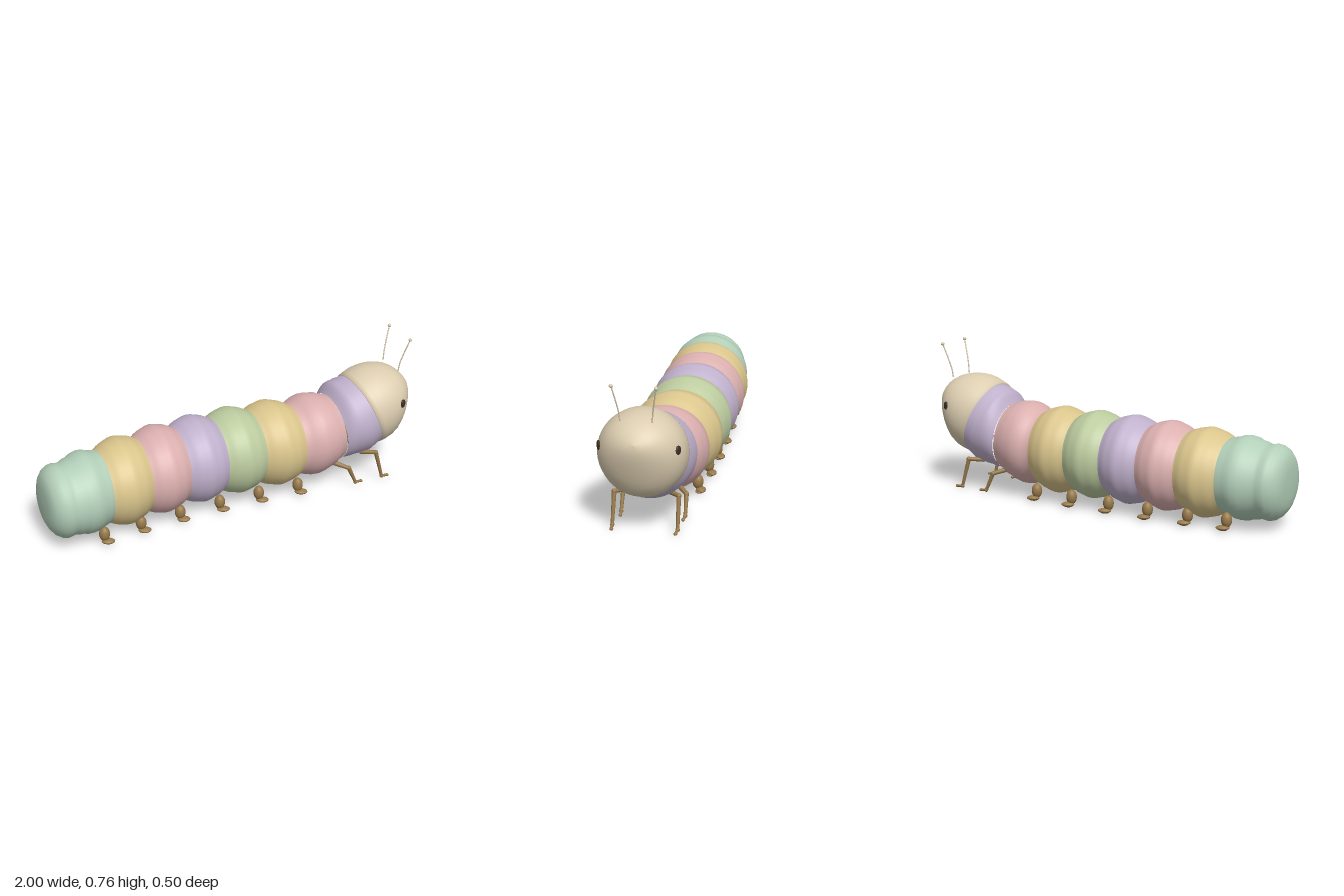
import * as THREE from 'three';

const mat = (name, color) => {
  const m = new THREE.MeshStandardMaterial({ color });
  m.name = name;
  return m;
};

// Skin through elliptical rings [x, y, z, radiusY, radiusZ, tilt in degrees] running toward +x
function loft(rings, sides = 48) {
  const pos = [], idx = [];
  rings.forEach(([x, y, z, ry, rz, tilt], i) => {
    const a = THREE.MathUtils.degToRad(tilt);
    for (let j = 0; j < sides; j++) {
      const t = (j / sides) * Math.PI * 2, h = Math.cos(t) * ry;
      pos.push(x - Math.sin(a) * h, y + Math.cos(a) * h, z + Math.sin(t) * rz);
      if (i === rings.length - 1) continue;
      const k = (j + 1) % sides, p = i * sides, q = p + sides;
      idx.push(p + j, p + k, q + j, p + k, q + k, q + j);
    }
  });
  const g = new THREE.BufferGeometry();
  g.setAttribute('position', new THREE.Float32BufferAttribute(pos, 3));
  g.setIndex(idx);
  g.computeVertexNormals();
  return g;
}

// Body centre line: [x, y, z]
const spine = [[-1, 0.235, 0.005], [-0.9, 0.228, 0.005], [-0.78, 0.238, -0.006], [-0.58, 0.243, -0.022],
  [-0.37, 0.254, -0.03], [-0.15, 0.26, -0.03], [0.06, 0.26, -0.025], [0.27, 0.257, -0.01], [0.37, 0.256, 0.0],
  [0.45, 0.267, 0.008], [0.51, 0.277, 0.013], [0.585, 0.29, 0.018]];
function centre(x) {
  let i = 0;
  while (i < spine.length - 2 && x > spine[i + 1][0]) i++;
  const [a, b] = [spine[i], spine[i + 1]], u = (x - a[0]) / (b[0] - a[0]);
  return [a[1] + (b[1] - a[1]) * u, a[2] + (b[2] - a[2]) * u];
}
const ring = (x, r, tilt = 0) => [x, ...centre(x), r, r, tilt];

export function createModel() {
  const group = new THREE.Group();
  const mint = mat('mint', 0xb3cfb9), yellow = mat('yellow', 0xdac58c), pink = mat('pink', 0xdbb0af);
  const lilac = mat('lilac', 0xc0b1cc), lime = mat('lime', 0xbccb9f), cream = mat('cream', 0xdccdb0);
  const brown = mat('brown', 0x97794a), dark = mat('dark', 0x3a2e22);

  const add = (name, geo, material, parent = group) => {
    const m = new THREE.Mesh(geo, material);
    m.name = name;
    parent.add(m);
    return m;
  };
  const ball = (name, p, s, material, parent) => {
    const m = add(name, new THREE.SphereGeometry(1, 20, 14), material, parent);
    m.position.set(...p);
    m.scale.set(...s);
    return m;
  };
  const limb = (name, a, b, r0, r1, parent) => {
    const p = new THREE.Vector3(...a), q = new THREE.Vector3(...b), d = q.clone().sub(p);
    const m = add(name, new THREE.CylinderGeometry(r1, r0, d.length(), 14), brown, parent);
    m.position.copy(p).addScaledVector(d, 0.5);
    m.quaternion.setFromUnitVectors(new THREE.Vector3(0, 1, 0), d.normalize());
  };

  // Tail: rounded end disc, a fold, then the first bulge
  const tail = [[-1, 0.001], [-0.999, 0.07], [-0.993, 0.115], [-0.98, 0.143], [-0.96, 0.167], [-0.935, 0.182],
    [-0.915, 0.186], [-0.895, 0.182], [-0.875, 0.181], [-0.855, 0.189], [-0.83, 0.193], [-0.81, 0.202],
    [-0.78, 0.206], [-0.755, 0.203], [-0.735, 0.194], [-0.715, 0.19], [-0.69, 0.183]];
  add('tailSegment', loft(tail.map(([x, r]) => ring(x, r))), mint);

  // Bulging middle segments with shallow folds
  const cuts = [-0.69, -0.48, -0.275, -0.07, 0.14, 0.355];
  [yellow, pink, lilac, lime, yellow].forEach((m, s) => {
    const rings = [];
    for (let i = 0; i <= 20; i++) {
      const u = i / 20, x = cuts[s] + (cuts[s + 1] - cuts[s]) * u;
      const base = s === 0 ? 0.183 + 0.005 * u : 0.188;
      rings.push(ring(x, base + 0.034 * Math.sin(Math.PI * u) ** 1.1 + 0.0025 * Math.sin(Math.PI * 3 * u) ** 2));
    }
    add('bodySegment' + (s + 1), loft(rings), m);
  });

  // Chest and neck, tilting up toward the head
  const chest = [[0.355, 0.188, 0], [0.375, 0.19, 0], [0.395, 0.199, 1], [0.42, 0.209, 1], [0.45, 0.214, 2],
    [0.48, 0.21, 3], [0.505, 0.203, 4], [0.53, 0.198, 5], [0.555, 0.184, 6], [0.585, 0.173, 7]];
  add('chestSegment', loft(chest.map((c) => ring(...c))), pink);
  add('neckSegment', loft([[0.585, 0.29, 0.018, 0.173, 0.18, 7], [0.598, 0.298, 0.019, 0.183, 0.19, 7],
    [0.613, 0.31, 0.02, 0.194, 0.198, 8], [0.632, 0.321, 0.022, 0.2, 0.204, 9], [0.655, 0.326, 0.025, 0.204, 0.207, 11],
    [0.675, 0.33, 0.028, 0.204, 0.206, 13], [0.697, 0.336, 0.03, 0.208, 0.207, 16], [0.722, 0.349, 0.033, 0.202, 0.203, 19],
    [0.75, 0.364, 0.036, 0.196, 0.198, 22]]), lilac);

  // Head: blunt dome [distance along axis, lift, radiusY, radiusZ]
  const pitch = THREE.MathUtils.degToRad(22), ca = Math.cos(pitch), sa = Math.sin(pitch);
  const dome = [[-0.004, 0, 0.19, 0.19], [-0.003, 0, 0.204, 0.204], [0.02, 0, 0.206, 0.206], [0.06, 0.002, 0.206, 0.207],
    [0.1, 0.006, 0.196, 0.203], [0.135, 0.013, 0.178, 0.193], [0.165, 0.02, 0.158, 0.179], [0.195, 0.027, 0.133, 0.159],
    [0.22, 0.032, 0.109, 0.135], [0.243, 0.033, 0.081, 0.105], [0.26, 0.031, 0.052, 0.071], [0.27, 0.027, 0.027, 0.036],
    [0.274, 0.025, 0.001, 0.001]];
  add('head', loft(dome.map(([t, l, ry, rz]) =>
    [0.75 + ca * t - sa * l, 0.365 + sa * t + ca * l, 0.039, ry, rz, 22])), cream);

  for (const s of [1, -1]) {
    const side = s > 0 ? 'left' : 'right';
    // Eyes and antennae
    ball(side + 'Eye', [0.89, 0.44, 0.041 + s * 0.181], [0.019, 0.023, 0.009], dark).rotation.y = s * 0.45;
    const antenna = new THREE.CatmullRomCurve3([[0.918, 0.575, 0.073], [0.924, 0.62, 0.077], [0.94, 0.68, 0.087],
      [0.963, 0.752, 0.1]].map(([x, y, z]) => new THREE.Vector3(x, y, 0.043 + s * z)));
    add(side + 'Antenna', new THREE.TubeGeometry(antenna, 16, 0.0032, 8), cream);
    ball(side + 'AntennaTip', [0.963, 0.752, 0.043 + s * 0.1], [0.009, 0.009, 0.009], cream);

    // Stubby rear legs with outward feet
    [-0.735, -0.535, -0.32, -0.1, 0.118, 0.335].forEach((x, i) => {
      const z = centre(x)[1], leg = new THREE.Group();
      leg.name = side + 'StubbyLeg' + (i + 1);
      group.add(leg);
      ball('thigh', [x, 0.054, z + s * 0.13], [0.027, 0.038, 0.027], brown, leg);
      ball('foot', [x + 0.012, 0.018, z + s * 0.147], [0.033, 0.012, 0.024], brown, leg).rotation.y = -s * 0.4;
      ball('toe', [x + 0.016, 0.01, z + s * 0.14], [0.026, 0.009, 0.02], brown, leg);
    });

    // Thin jointed front legs: hip, knee, ankle, toe
    [[0.55, 0.127, 0.61, 0.107, 0.652, 0.025], [0.71, 0.158, 0.766, 0.165, 0.808, 0.032]].forEach((p, i) => {
      const [hx, hy, kx, ky, zc] = p, ax = kx + 0.042, leg = new THREE.Group();
      const z0 = p[5], hip = [hx, hy, z0 + s * 0.1], knee = [kx, ky, z0 + s * 0.152];
      const ankle = [zc, 0.014, z0 + s * 0.154], toe = [ax + 0.036, 0.009, z0 + s * 0.15];
      leg.name = side + 'JointedLeg' + (i + 1);
      group.add(leg);
      limb('femur', hip, knee, 0.013, 0.01, leg);
      limb('tibia', knee, ankle, 0.011, 0.008, leg);
      limb('foot', ankle, toe, 0.008, 0.006, leg);
      ball('hip', hip, [0.013, 0.013, 0.013], brown, leg);
      ball('knee', knee, [0.012, 0.012, 0.012], brown, leg);
      ball('ankle', ankle, [0.01, 0.011, 0.01], brown, leg);
      ball('toe', toe, [0.009, 0.008, 0.009], brown, leg);
    });
  }
  return group;
}
